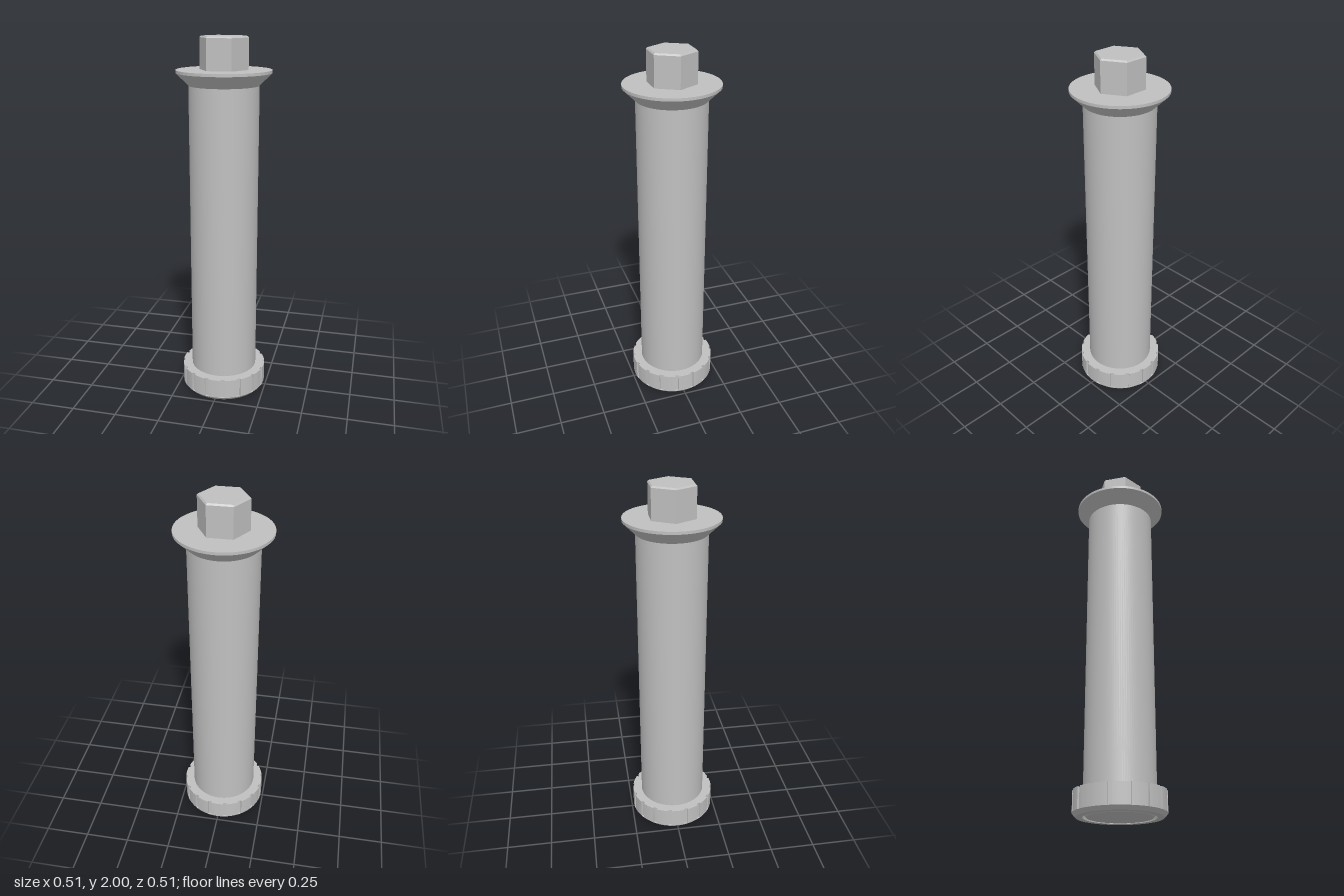
import * as THREE from 'three';
import { toCreasedNormals } from 'three/addons/utils/BufferGeometryUtils.js';

const steel = new THREE.MeshStandardMaterial({ color: 0xc0c0c0 });
steel.name = 'grey steel';

function part(name, geometry) {
  const mesh = new THREE.Mesh(toCreasedNormals(geometry, 0.3), steel);
  mesh.name = name;
  return mesh;
}

// Turned part from [radius, height] pairs, listed from bottom to top
function turned(name, profile, sides = 96) {
  const points = profile.map(([r, y]) => new THREE.Vector2(r, y));
  return part(name, new THREE.LatheGeometry(points, sides));
}

// Gripping ring: circle outline with narrow square notches and a bore
function notchedRing(radius, bore, depth, notches, notchWidth, bottom, top) {
  const shape = new THREE.Shape();
  const step = (Math.PI * 2) / notches;
  const half = notchWidth / radius / 2;
  const arcSteps = 8;
  for (let i = 0; i < notches; i++) {
    const start = (i - 0.5) * step + half;
    const end = (i + 0.5) * step - half;
    for (let j = 0; j <= arcSteps; j++) {
      const a = start + ((end - start) * j) / arcSteps;
      const x = radius * Math.cos(a), y = radius * Math.sin(a);
      if (i === 0 && j === 0) shape.moveTo(x, y);
      else shape.lineTo(x, y);
    }
    const inner = radius - depth;
    for (const a of [end, end + 2 * half]) shape.lineTo(inner * Math.cos(a), inner * Math.sin(a));
  }
  shape.closePath();
  const hole = new THREE.Path();
  hole.absarc(0, 0, bore, 0, Math.PI * 2, true);
  shape.holes.push(hole);
  const geometry = new THREE.ExtrudeGeometry(shape, { depth: top - bottom, bevelEnabled: false, curveSegments: 48 });
  geometry.rotateX(-Math.PI / 2);
  geometry.translate(0, bottom, 0);
  return part('notchedRing', geometry);
}

export function createModel() {
  const model = new THREE.Group();
  model.name = 'bolt';

  // Long shaft with a chamfered lower end
  model.add(turned('shaft', [[0, 0], [0.167, 0], [0.187, 0.02], [0.187, 1.75]]));

  // Countersunk flange
  model.add(turned('flange', [[0.187, 1.75], [0.253, 1.815], [0.253, 1.83], [0, 1.83]]));

  // Hexagonal head with a chamfered top, corners on the x axis
  const head = turned('hexHead', [[0.131, 1.83], [0.131, 1.992], [0.123, 2], [0, 2]], 6);
  head.rotation.y = Math.PI / 2;
  model.add(head);

  // Notched end ring and its chamfered foot
  model.add(notchedRing(0.24, 0.186, 0.01, 16, 0.022, 0.02, 0.13));
  model.add(turned('ringFoot', [[0.187, 0.02], [0.187, 0], [0.222, 0], [0.24, 0.02], [0.187, 0.02]]));

  return model;
}
